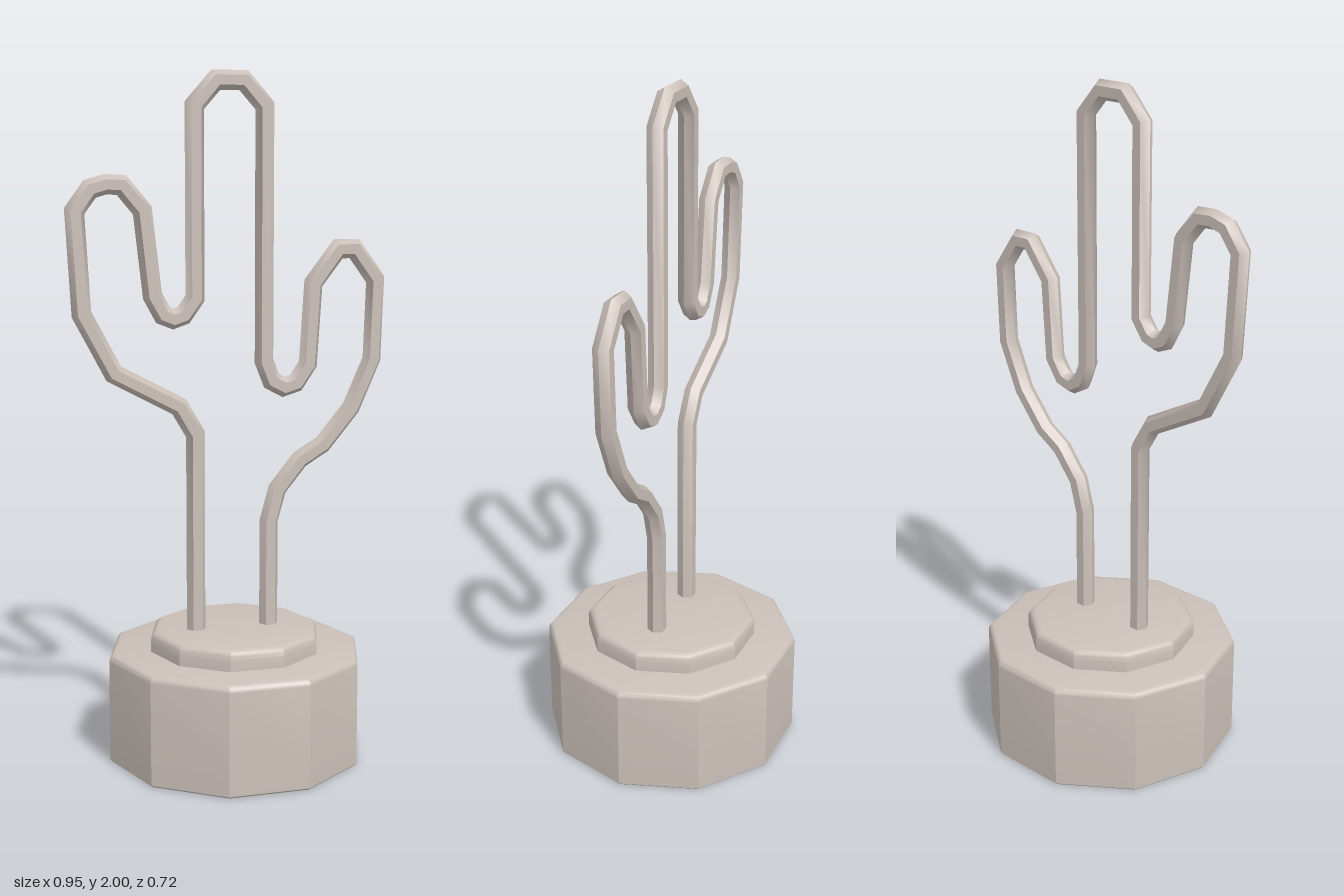
import * as THREE from 'three';
import { toCreasedNormals } from 'three/addons/utils/BufferGeometryUtils.js';

const SIDES = 10;

// Ten-sided disc with a rounded upper rim, a corner pointing along +x
function plinth(radius, y0, y1, bevel, material, name) {
  const profile = [[0, y0], [radius - 0.005, y0], [radius, y0 + 0.005]];
  for (let i = 0; i <= 4; i++) {
    const a = (i / 4) * Math.PI / 2;
    profile.push([radius - bevel + bevel * Math.cos(a), y1 - bevel + bevel * Math.sin(a)]);
  }
  profile.push([0, y1]);
  const points = profile.map(([x, y]) => new THREE.Vector2(x, y));
  const geometry = new THREE.LatheGeometry(points, SIDES, Math.PI / 2);
  const mesh = new THREE.Mesh(toCreasedNormals(geometry, 0.5), material);
  mesh.name = name;
  mesh.position.x = 0.01;
  return mesh;
}

// Six-sided rod with mitred bends along a path in the xy plane
function bentRod(path, radius) {
  const pts = path.map(([x, y]) => new THREE.Vector2(x, y));
  const positions = [], indices = [];
  pts.forEach((p, i) => {
    const before = p.clone().sub(pts[Math.max(i - 1, 0)]).normalize();
    const after = pts[Math.min(i + 1, pts.length - 1)].clone().sub(p).normalize();
    const tangent = before.clone().add(after).normalize();
    const dir = i ? before : after;
    const miter = 1 / Math.max(tangent.dot(dir), 0.5);
    for (let k = 0; k < 6; k++) {
      const a = (k / 6) * Math.PI * 2;
      const side = Math.cos(a) * radius * miter;
      positions.push(p.x - tangent.y * side, p.y + tangent.x * side, Math.sin(a) * radius);
      if (i < pts.length - 1) {
        const n = (k + 1) % 6;
        const A = i * 6 + k, B = i * 6 + n, C = A + 6, D = B + 6;
        indices.push(A, B, C, B, D, C);
      }
    }
  });
  const geometry = new THREE.BufferGeometry();
  geometry.setAttribute('position', new THREE.Float32BufferAttribute(positions, 3));
  geometry.setIndex(indices);
  return toCreasedNormals(geometry, 0.9);
}

export function createModel() {
  const group = new THREE.Group();
  group.name = 'cactusLamp';
  const clay = new THREE.MeshStandardMaterial({ color: 0xcbc0b9 });
  clay.name = 'warm grey';

  // Stepped base
  group.add(plinth(0.38, 0, 0.325, 0.02, clay, 'base'));
  group.add(plinth(0.255, 0.31, 0.385, 0.025, clay, 'upperBase'));

  // Cactus outline, from the left foot over the three lobes to the right foot
  const outline = [
    [-0.108, 0.36], [-0.108, 0.967], [-0.156, 1.05], [-0.346, 1.152],
    [-0.436, 1.323], [-0.452, 1.61], [-0.408, 1.67], [-0.365, 1.683],
    [-0.318, 1.681], [-0.259, 1.61], [-0.232, 1.37], [-0.202, 1.315],
    [-0.172, 1.303], [-0.142, 1.313], [-0.108, 1.36],
    [-0.108, 1.9], [-0.046, 1.97], [0.036, 1.97], [0.098, 1.9],
    [0.098, 1.173], [0.121, 1.115], [0.158, 1.095], [0.195, 1.106],
    [0.232, 1.16], [0.247, 1.396], [0.322, 1.494], [0.372, 1.494],
    [0.438, 1.403], [0.43, 1.168], [0.367, 1.025], [0.28, 0.92],
    [0.209, 0.877], [0.14, 0.792], [0.114, 0.697], [0.114, 0.36],
  ];
  const rod = new THREE.Mesh(bentRod(outline, 0.028), clay);
  rod.name = 'cactusOutline';
  group.add(rod);
  return group;
}
